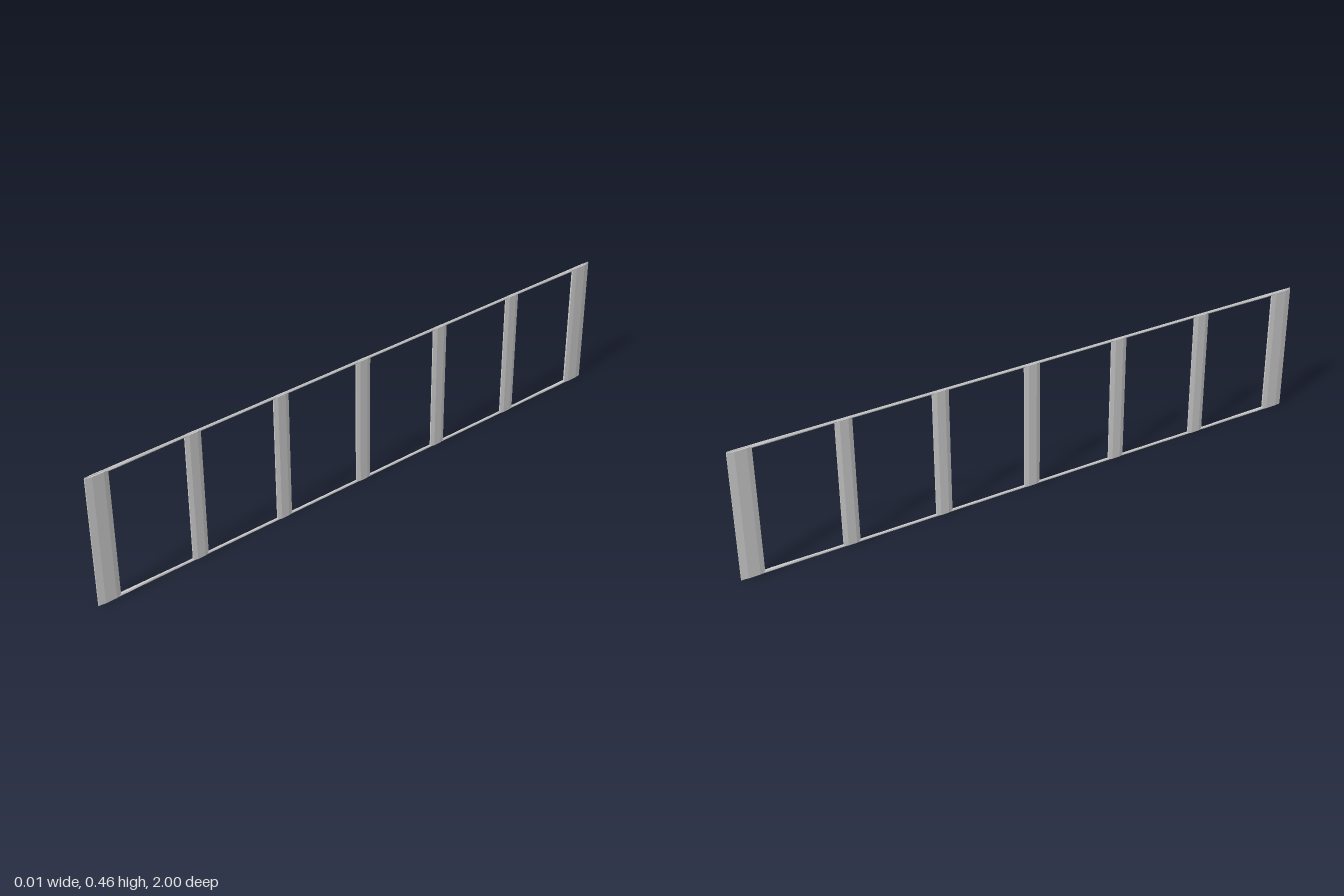
import * as THREE from 'three';

const HEIGHT = 0.455;
const material = new THREE.MeshStandardMaterial({ color: 0xcccccc, flatShading: true });

// Closed outline mirrored about the first axis: points are [halfWidth, position]
function mirroredShape(points) {
  const right = points.map(([w, p]) => new THREE.Vector2(w, p));
  const left = points.map(([w, p]) => new THREE.Vector2(-w, p)).reverse();
  return new THREE.Shape([...right, ...left]);
}

// Upright with a bevelled section, standing between the rails
function upright(name, points) {
  const geo = new THREE.ExtrudeGeometry(mirroredShape(points), { depth: HEIGHT - 0.006, bevelEnabled: false });
  geo.rotateX(-Math.PI / 2);
  geo.translate(0, 0.003, 0);
  const mesh = new THREE.Mesh(geo, material);
  mesh.name = name;
  return mesh;
}

// Thin rail with a chamfered outer edge, slimmer in the middle and pointed at the tips
function rail(name) {
  const shape = mirroredShape([[0.004, -0.009], [0.006, -0.005], [0.002, 0]]);
  const geo = new THREE.ExtrudeGeometry(shape, { depth: 2, steps: 20, bevelEnabled: false });
  geo.translate(0, 0, -1);
  const pos = geo.attributes.position;
  for (let i = 0; i < pos.count; i++) {
    const z = Math.abs(pos.getZ(i));
    const s = z > 0.99 ? 0.3 : z > 0.85 ? 1 : 0.7;
    pos.setX(i, pos.getX(i) * s);
    // Keep the outer edge level while the middle gets shallower
    if (z < 0.75) pos.setY(i, pos.getY(i) * 0.85);
  }
  geo.computeVertexNormals();
  const mesh = new THREE.Mesh(geo, material);
  mesh.name = name;
  return mesh;
}

export function createModel() {
  const group = new THREE.Group();
  group.name = 'slattedFrame';

  // End posts, tapering to the outer edge
  const postProfile = [[0.0018, -1], [0.006, -0.978], [0.006, -0.94], [0.003, -0.924]];
  const frontPost = upright('frontPost', postProfile);
  const backPost = upright('backPost', postProfile);
  backPost.rotation.y = Math.PI;
  group.add(frontPost, backPost);

  // Five evenly spaced slats
  for (let i = -2; i <= 2; i++) {
    const slat = upright('slat', [[0.002, -0.028], [0.006, -0.014], [0.006, 0.014], [0.002, 0.028]]);
    slat.position.z = i * 0.319;
    group.add(slat);
  }

  // Top and bottom rails
  const topRail = rail('topRail');
  topRail.position.y = HEIGHT;
  const bottomRail = rail('bottomRail');
  bottomRail.rotation.z = Math.PI;
  group.add(topRail, bottomRail);

  return group;
}
